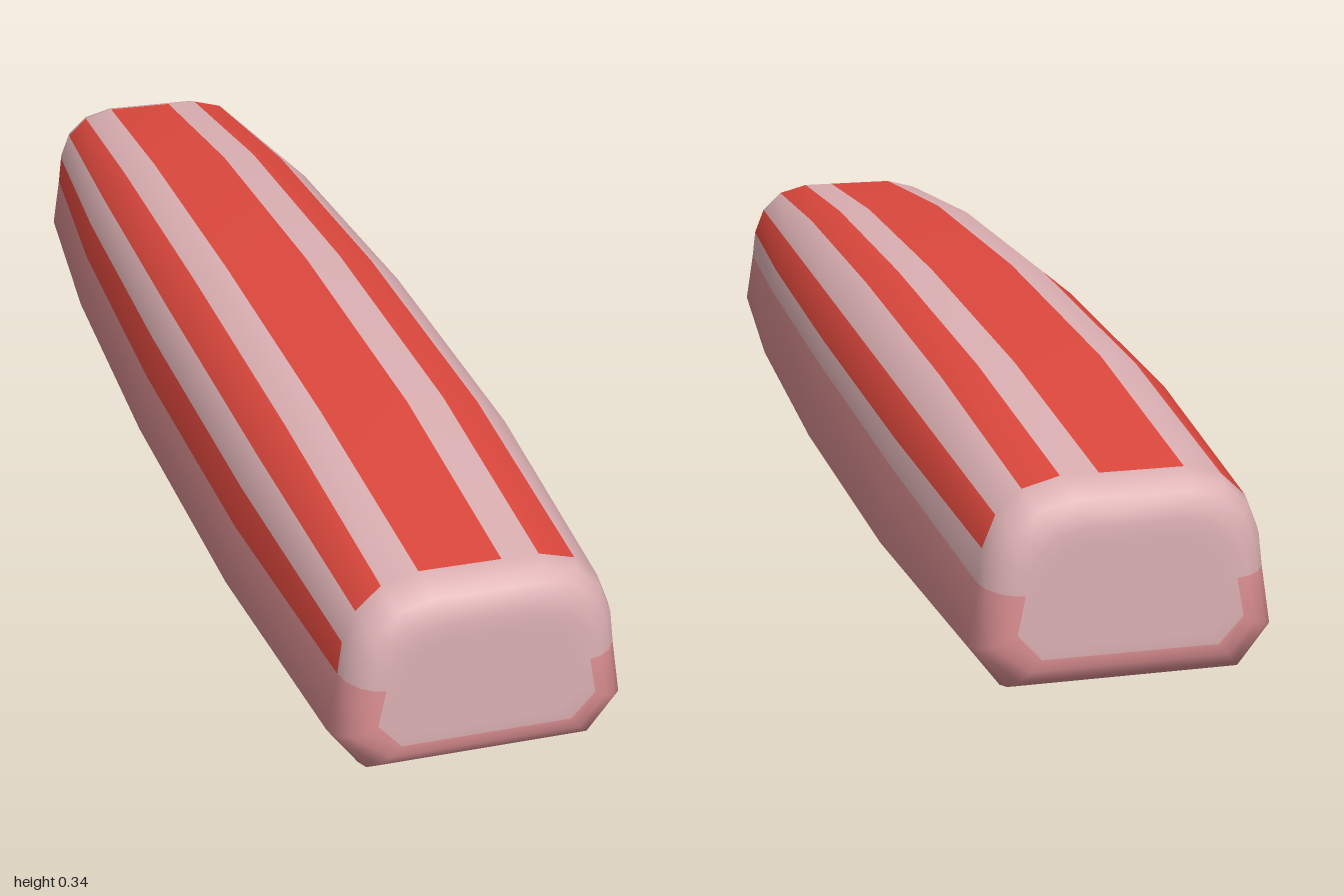
import * as THREE from 'three';

// Cross-section corners, counter-clockwise from the lower +x corner:
// [x, y at the middle, x, y at the ends, colour of the band up to the next corner]
const PINK = 0, LIGHT = 1, RED = 2;
const SECTION = [
  [0.192, 0.0, 0.165, 0.01, PINK],
  [0.251, 0.07, 0.21, 0.07, PINK],
  [0.232, 0.195, 0.196, 0.157, LIGHT],
  [0.225, 0.235, 0.19, 0.205, RED],
  [0.2, 0.29, 0.172, 0.25, LIGHT],
  [0.152, 0.33, 0.137, 0.283, RED],
  [0.097, 0.345, 0.085, 0.297, LIGHT],
  [0.04, 0.345, 0.032, 0.297, RED],
  [-0.097, 0.345, -0.085, 0.297, LIGHT],
  [-0.152, 0.33, -0.137, 0.283, RED],
  [-0.2, 0.29, -0.172, 0.25, LIGHT],
  [-0.225, 0.235, -0.19, 0.205, RED],
  [-0.236, 0.165, -0.196, 0.157, PINK],
  [-0.251, 0.07, -0.21, 0.07, PINK],
  [-0.192, 0.0, -0.165, 0.01, PINK],
];

// Half the rings along the length: [z, bulge, inset of the rounded end]
const HALF = [
  [0.53, 0.75, 0], [0.945, 0, 0], [0.968, 0, 0.006], [0.987, 0, 0.02],
  [0.997, 0, 0.037], [1, 0, 0.055], [1, 0, 0.075],
];
const RINGS = [
  ...HALF.map(([z, t, d]) => [-z, t, d]).reverse(),
  [0, 1, 0],
  ...HALF,
];

function buildStick() {
  const n = SECTION.length;
  const centreY = 0.15;
  const positions = [];
  for (const [z, bulge, inset] of RINGS) {
    for (const [mx, my, ex, ey] of SECTION) {
      const x = THREE.MathUtils.lerp(ex, mx, bulge);
      const y = THREE.MathUtils.lerp(ey, my, bulge);
      positions.push(x * (1 - inset / 0.21), centreY + (y - centreY) * (1 - inset / 0.145), z);
    }
  }
  const backCentre = positions.length / 3;
  positions.push(0, centreY, -1, 0, centreY, 1);

  const faces = [[], [], []];
  for (let j = 0; j < RINGS.length - 1; j++) {
    const [z0, , d0] = RINGS[j], [z1, , d1] = RINGS[j + 1];
    const flatEnd = z0 === z1;
    const roundedEnd = d0 > 0 || d1 > 0;
    for (let i = 0; i < n; i++) {
      const k = (i + 1) % n;
      const a = j * n + i, b = j * n + k, c = b + n, d = a + n;
      // Stripes stop short of the rounded ends
      let colour = SECTION[i][4];
      if (flatEnd || (roundedEnd && colour === RED)) colour = LIGHT;
      faces[colour].push(a, b, c, a, c, d);
    }
  }
  // Flat centres of both ends
  const last = (RINGS.length - 1) * n;
  for (let i = 0; i < n; i++) {
    const k = (i + 1) % n;
    faces[LIGHT].push(backCentre, k, i, backCentre + 1, last + i, last + k);
  }

  const geometry = new THREE.BufferGeometry();
  geometry.setAttribute('position', new THREE.Float32BufferAttribute(positions, 3));
  geometry.setIndex(faces.flat());
  let start = 0;
  faces.forEach((list, colour) => {
    geometry.addGroup(start, list.length, colour);
    start += list.length;
  });
  geometry.computeVertexNormals();
  return geometry;
}

export function createModel() {
  const material = (name, color) => {
    const m = new THREE.MeshStandardMaterial({ color });
    m.name = name;
    return m;
  };
  const materials = [
    material('salmon pink', 0xdd9093),
    material('pale pink', 0xdcb0b3),
    material('stripe red', 0xdd483d),
  ];
  const group = new THREE.Group();
  group.name = 'stripedStick';
  const stick = new THREE.Mesh(buildStick(), materials);
  stick.name = 'stickBody';
  group.add(stick);
  return group;
}
